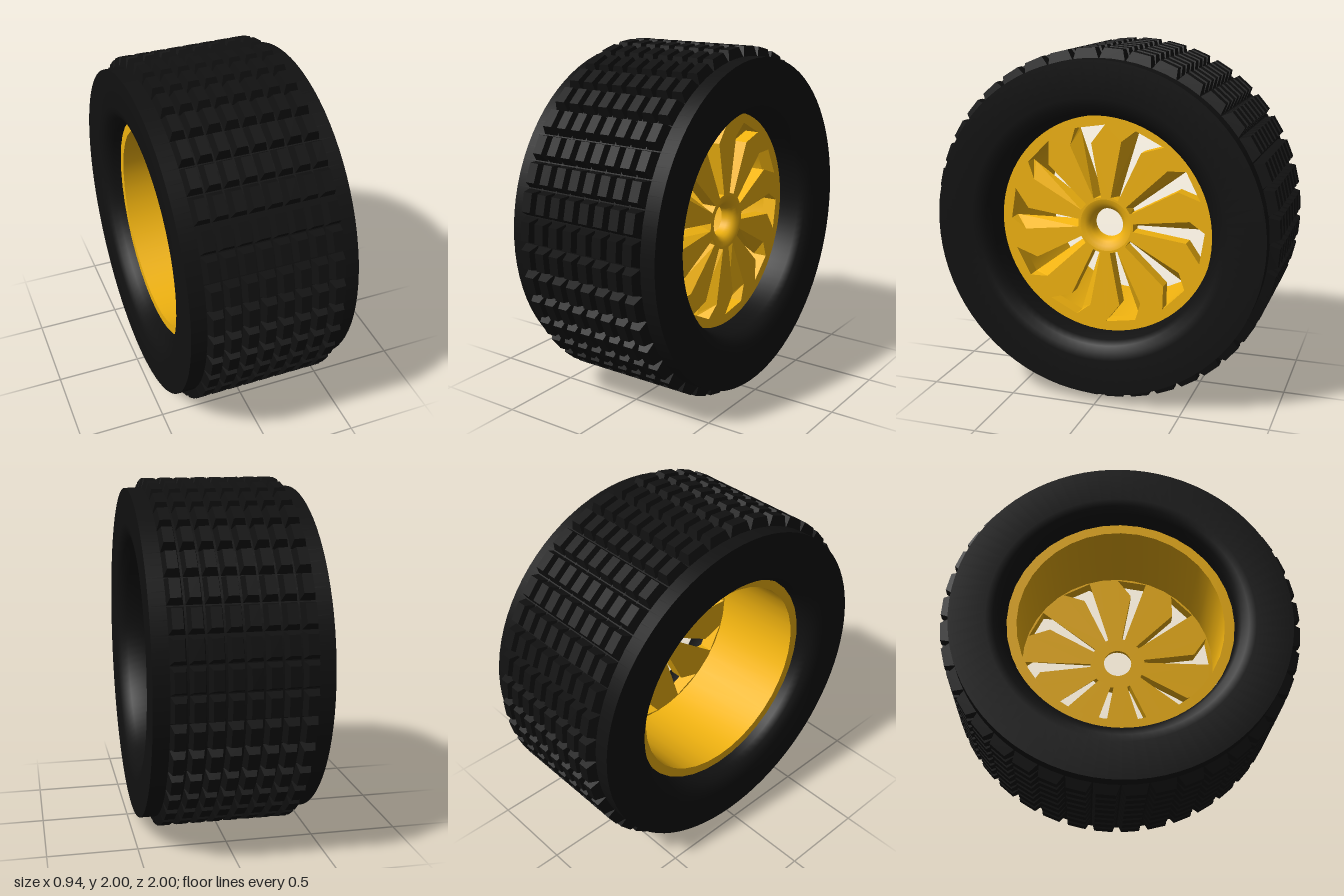
import * as THREE from 'three';
import { mergeGeometries, toCreasedNormals } from 'three/addons/utils/BufferGeometryUtils.js';

const rubber = new THREE.MeshStandardMaterial({ color: 0x111111 });
const gold = new THREE.MeshStandardMaterial({ color: 0xf2b410 });

const SPOKES = 10, FRONT = 0.285, REAR = 0.2;

function addMesh(parent, name, geometry, material) {
  const mesh = new THREE.Mesh(geometry, material);
  mesh.name = name;
  parent.add(mesh);
}

// Turns a [radius, x] profile around the x axis
function turned(profile, segments, crease = 0.6) {
  const points = profile.map(([r, x]) => new THREE.Vector2(r, x));
  const geometry = new THREE.LatheGeometry(points, segments).rotateZ(-Math.PI / 2);
  return toCreasedNormals(geometry, crease);
}

// Tapered tread block, base wider than top, standing along +y
function treadBlock() {
  const geometry = new THREE.BoxGeometry(0.092, 0.068, 0.15);
  const p = geometry.attributes.position;
  for (let i = 0; i < p.count; i++) {
    if (p.getY(i) > 0) p.setXYZ(i, p.getX(i) * 0.62, p.getY(i), p.getZ(i) * 0.7);
  }
  const flat = geometry.translate(0, 0.964, 0).toNonIndexed();
  flat.computeVertexNormals();
  return flat;
}

function treadGeometry() {
  const blocks = [];
  const rows = 8, around = 40;
  for (let i = 0; i < around; i++) {
    for (let j = 0; j < rows; j++) {
      const block = treadBlock().translate((j - (rows - 1) / 2) * 0.097, 0, 0);
      blocks.push(block.rotateX(((i + 0.5) / around) * Math.PI * 2));
    }
  }
  return mergeGeometries(blocks);
}

// Clockwise angle from the top in degrees, and radius
const polar = ([deg, r], turn) => {
  const a = THREE.MathUtils.degToRad(deg + turn);
  return new THREE.Vector2(r * Math.sin(a), r * Math.cos(a));
};

// Window outlines: the rear one is narrower, so one spoke flank slopes
const frontWindow = [[0, 0.573], [-18, 0.573], [-25, 0.49], [-25, 0.165], [-9, 0.163], [-10, 0.473]];
const rearWindow = [[0, 0.573], [-18, 0.573], [-18, 0.555], [-15.5, 0.165], [-9, 0.163], [-10, 0.473]];

function discFace(outline, depth, radius, flip) {
  const shape = new THREE.Shape().absarc(0, 0, radius, 0, Math.PI * 2, false);
  shape.holes.push(new THREE.Path().absarc(0, 0, 0.15, 0, Math.PI * 2, true));
  for (let i = 0; i < SPOKES; i++) {
    shape.holes.push(new THREE.Path(outline.map((p) => polar(p, (i * 360) / SPOKES))));
  }
  const geometry = new THREE.ShapeGeometry(shape, 32);
  if (flip) geometry.index.array.reverse();
  geometry.translate(0, 0, depth).deleteAttribute('uv');
  return geometry.toNonIndexed();
}

// Pierced disc: two faces joined by the window walls
function spokeDisc() {
  const walls = [];
  for (let i = 0; i < SPOKES; i++) {
    const turn = (i * 360) / SPOKES;
    const f = frontWindow.map((p) => polar(p, turn));
    const r = rearWindow.map((p) => polar(p, turn));
    f.forEach((a, k) => {
      const n = (k + 1) % f.length;
      const b = f[n], c = r[k], d = r[n];
      walls.push(a.x, a.y, FRONT, b.x, b.y, FRONT, c.x, c.y, REAR);
      walls.push(c.x, c.y, REAR, b.x, b.y, FRONT, d.x, d.y, REAR);
    });
  }
  const sides = new THREE.BufferGeometry();
  sides.setAttribute('position', new THREE.Float32BufferAttribute(walls, 3));
  sides.computeVertexNormals();
  const disc = mergeGeometries([
    discFace(frontWindow, FRONT, 0.63, false),
    discFace(rearWindow, REAR, 0.6, true),
    sides,
  ]);
  disc.computeVertexNormals();
  return disc.rotateY(Math.PI / 2);
}

export function createModel() {
  const model = new THREE.Group();
  model.name = 'wheel';
  const wheel = new THREE.Group();
  wheel.name = 'wheelAssembly';
  wheel.position.y = 1;
  model.add(wheel);

  // Tyre carcass with rounded inner lips
  const half = [[0.945, 0.47], [0.74, 0.47], [0.7, 0.463], [0.662, 0.44], [0.64, 0.4], [0.625, 0.28]];
  const mirrored = half.map(([r, x]) => [r, -x]).reverse();
  addMesh(wheel, 'tyre', turned([...mirrored, ...half, mirrored[0]], 80), rubber);
  addMesh(wheel, 'treadBlocks', treadGeometry(), rubber);

  // Hollow rim barrel with its rear lip
  addMesh(wheel, 'rimBarrel', turned([[0.58, 0.21], [0.58, -0.357], [0.635, -0.357]].map(([r, x]) => [r, x]), 36).clone(), gold);
  wheel.getObjectByName('rimBarrel').geometry.computeBoundingSphere();

  // Spoked face and the rounded bore at its centre
  addMesh(wheel, 'spokes', spokeDisc(), gold);
  addMesh(wheel, 'hub', turned([
    [0.152, FRONT], [0.125, 0.28], [0.1, 0.262], [0.088, 0.235], [0.083, REAR], [0.152, REAR],
  ], 40), gold);

  return model;
}
